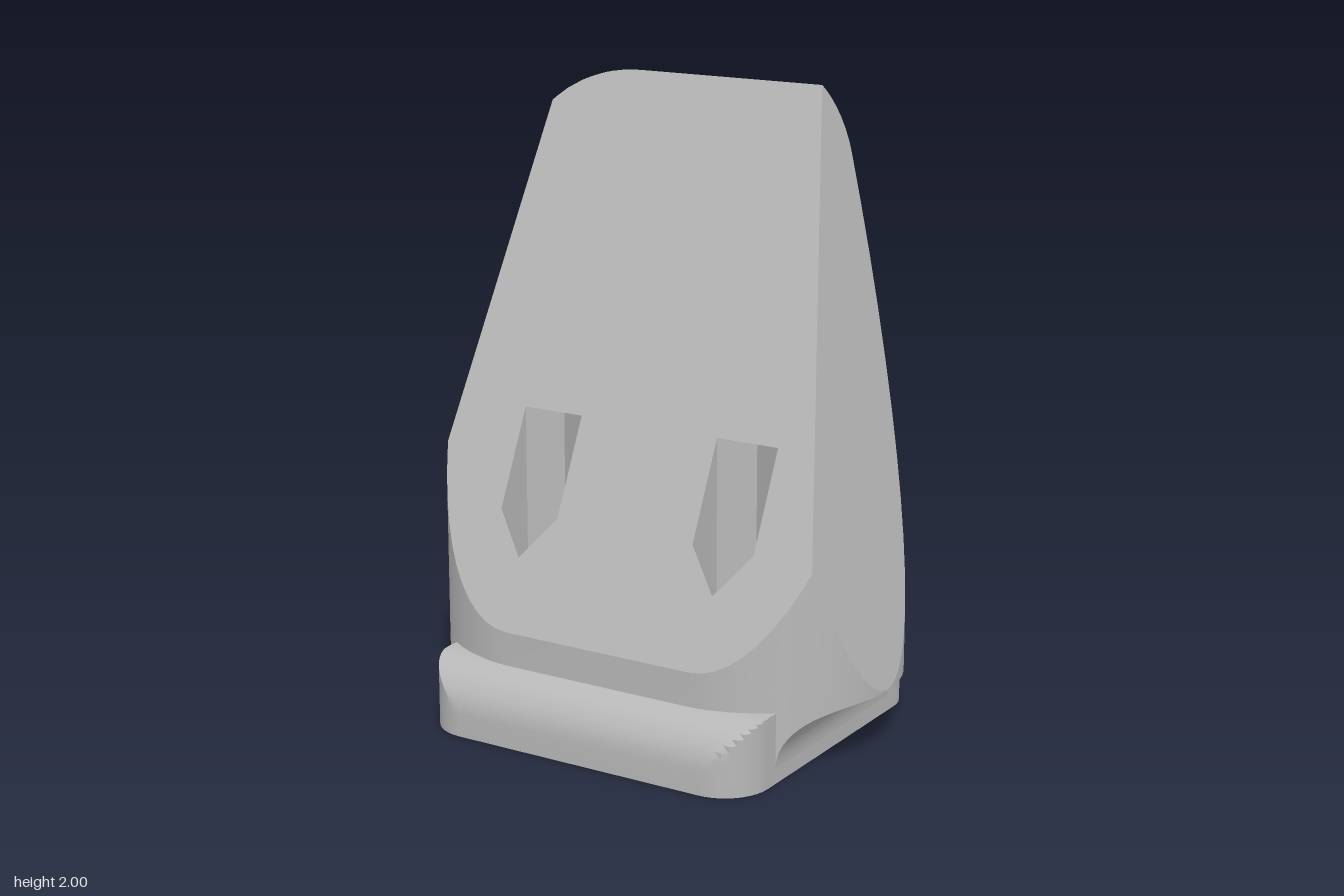
import * as THREE from 'three';
import { toCreasedNormals } from 'three/addons/utils/BufferGeometryUtils.js';

const SIDE = 0.335, RADIUS = 0.44;      // plan of the body: a stadium
const BOTTOM = 0.22, FLOOR = 0.13, CEILING = 0.975;
const HOLE = 0.06;

// Collects triangles and turns them into a mesh with sharp edges kept.
class Faces {
  constructor() { this.pos = []; }
  poly(pts) {
    for (let i = 1; i < pts.length - 1; i++) this.pos.push(...pts[0], ...pts[i], ...pts[i + 1]);
  }
  strip(a, b, closed = false) {
    const n = a.length;
    for (let i = 0; i < (closed ? n : n - 1); i++) {
      const j = (i + 1) % n;
      this.poly([a[i], b[i], b[j], a[j]]);
    }
  }
  // flat face with holes, triangulated in 2D and placed by a rule
  flat(contour, holes, place) {
    const v = (l) => l.map((p) => new THREE.Vector2(p[0], p[1]));
    const all = [contour, ...holes].flat();
    for (const t of THREE.ShapeUtils.triangulateShape(v(contour), holes.map(v))) {
      this.poly(t.map((i) => place(all[i][0], all[i][1])));
    }
  }
  mesh(name, material) {
    const g = new THREE.BufferGeometry();
    g.setAttribute('position', new THREE.Float32BufferAttribute(this.pos, 3));
    const m = new THREE.Mesh(toCreasedNormals(g, 0.5), material);
    m.name = name;
    return m;
  }
}

const circle = (cx, cz) => Array.from({ length: 32 }, (_, i) => {
  const a = (i / 32) * Math.PI * 2;
  return [cx + HOLE * Math.cos(a), cz + HOLE * Math.sin(a)];
});

// Cuts a convex solid by the plane n.p = d, returning its faces and the new cap.
function cut(faces, n, d) {
  const cap = new Map(), kept = [];
  const dist = (p) => n[0] * p[0] + n[1] * p[1] + n[2] * p[2] - d;
  for (const f of faces) {
    const out = [];
    f.forEach((p, i) => {
      const q = f[(i + 1) % f.length], a = dist(p), b = dist(q);
      if (a <= 0) out.push(p);
      if ((a <= 0) !== (b <= 0)) {
        const r = p.map((c, k) => c + (q[k] - c) * a / (a - b));
        out.push(r);
        cap.set(r.map((c) => Math.round(c * 1e4)).join(), r);
      }
    });
    if (out.length > 2) kept.push(out);
  }
  const pts = [...cap.values()];
  const c = [0, 1, 2].map((k) => pts.reduce((s, p) => s + p[k], 0) / pts.length);
  // sort the cap around its centre, in the plane
  const N = new THREE.Vector3(...n).normalize();
  const U = new THREE.Vector3(0, 1, 0).cross(N).normalize(), V = N.clone().cross(U);
  const angle = (p) => {
    const r = new THREE.Vector3(p[0] - c[0], p[1] - c[1], p[2] - c[2]);
    return Math.atan2(r.dot(V), r.dot(U));
  };
  pts.sort((p, q) => angle(p) - angle(q));
  return { kept, cap: pts };
}

// Pocket outlines as [x, z, wall top]
const frontPocket = (cx) => [
  [cx, 0.34, 0.544], [cx + 0.107, 0.28, 0.672], [cx + 0.107, 0.139, CEILING],
  [cx, 0.08, CEILING], [cx - 0.107, 0.139, CEILING], [cx - 0.107, 0.28, 0.672],
];
const backPocket = [
  [0, -0.53, 0.158], [0.107, -0.47, 0.21], [0.107, -0.44, 0.22], [0.107, -0.44, CEILING],
  [0.107, -0.35, CEILING], [0, -0.29, CEILING], [-0.107, -0.35, CEILING],
  [-0.107, -0.44, CEILING], [-0.107, -0.44, 0.22], [-0.107, -0.47, 0.21],
];

function makeBody(material) {
  const ring = (y, inset) => {
    const pts = [];
    for (const s of [1, -1]) for (let i = 0; i <= 32; i++) {
      const a = s * Math.PI / 2 - (i / 32) * Math.PI;
      const r = RADIUS - inset;
      pts.push([s * SIDE + r * Math.cos(a), y, r * Math.sin(a) * 1]);
    }
    // second end runs from back to front
    return pts.slice(0, 33).concat(pts.slice(33).map(([x, h, z]) => [-2 * SIDE - x - 0, h, z])
      .map(([x, h, z], i) => {
        const a = -Math.PI / 2 - (i / 32) * Math.PI, r = RADIUS - inset;
        return [-SIDE + r * Math.cos(a), h, r * Math.sin(a)];
      }));
  };
  const rings = [ring(BOTTOM, 0)];
  for (let i = 0; i <= 8; i++) {
    const t = (i / 8) * Math.PI / 3;
    rings.push(ring(1.78 + 0.29 * Math.sin(t), 0.29 * (1 - Math.cos(t))));
  }
  let faces = [rings[0], rings.at(-1).slice().reverse()];
  for (let k = 0; k < rings.length - 1; k++) rings[k].forEach((p, i) => {
    const j = (i + 1) % rings[k].length;
    faces.push([p, rings[k][j], rings[k + 1][j], rings[k + 1][i]].reverse());
  });
  // two leaning sides, then the sloping front
  for (const [n, d] of [[[-1, 0.0806, 0], 0.793], [[1, 0.2507, 0], 0.831]]) {
    const r = cut(faces, n, d);
    faces = [...r.kept, r.cap];
  }
  const front = cut(faces, [0, 0.467, 1], 0.594);
  const body = new Faces();
  for (const f of front.kept) {
    if (f.every((p) => p[1] < BOTTOM + 0.001)) continue;              // open underneath
    const isBack = f.every((p) => p[2] < -RADIUS + 0.001) && f.some((p) => p[0] > 0.2) && f.some((p) => p[0] < -0.2);
    if (!isBack) { body.poly(f); continue; }
    const slot = [[-0.107, 0.221], [0.107, 0.221], [0.107, CEILING], [-0.107, CEILING]];
    body.flat(f, [slot], (x, y) => [x, y, -RADIUS]);
  }
  const openings = [-0.355, 0.355].map((cx) => frontPocket(cx).filter((_, i) => i !== 3)
    .map(([x, z]) => [x, (0.594 - z) / 0.467]));
  body.flat(front.cap, openings, (x, y) => [x, y, 0.594 - 0.467 * y]);
  return body.mesh('body', material);
}

function makeBase(material) {
  const base = new Faces();
  const outline = (y, d) => {
    const half = [[0.107, y, -0.555 + d]];
    for (let i = 0; i <= 10; i++) {
      const a = -Math.PI / 2 + (i / 10) * Math.PI / 2, r = Math.max(0.15 - d, 0.002);
      half.push([0.44 + r * Math.cos(a), y, -0.405 + r * Math.sin(a)]);
    }
    half.push([0.59, y, -0.36]);
    for (let i = 0; i <= 10; i++) {
      const a = (i / 10) * Math.PI / 2;
      half.push([0.44 + 0.15 * Math.cos(a), y, Math.min(0.405 + 0.15 * Math.sin(a), 0.555 - d)]);
    }
    return half.concat(half.map(([x, h, z]) => [-x, h, z]).reverse());
  };
  const rings = [outline(0, 0)];
  for (let i = 0; i <= 10; i++) {
    const t = (i / 10) * Math.PI / 2;
    rings.push(outline(0.075 + 0.15 * Math.sin(t), 0.15 * (1 - Math.cos(t))));
  }
  for (let k = 0; k < rings.length - 1; k++) base.strip(rings[k], rings[k + 1]);
  // rim behind the back pocket
  const rim = [[-0.107, -0.47], [0, -0.53], [0.107, -0.47]].map(([x, z]) => {
    const end = Math.acos(1 - (z + 0.555) / 0.15), pts = [[x, 0, -0.555]];
    for (let i = 0; i <= 6; i++) {
      const t = end * i / 6;
      pts.push([x, 0.075 + 0.15 * Math.sin(t), -0.555 + 0.15 * (1 - Math.cos(t))]);
    }
    return pts;
  });
  base.strip(rim[0], rim[1]);
  base.strip(rim[1], rim[2]);
  // top with pocket openings, underside with screw holes
  const xz = (p) => [p[0], p[2]];
  const top = rings.at(-1).map(xz).concat([[-0.107, -0.35], [0, -0.29], [0.107, -0.35]]);
  base.flat(top, [-0.355, 0.355].map(frontPocket), (x, z) => [x, 0.225, z]);
  base.flat(rings[0].map(xz), [circle(-0.355, 0.2), circle(0.355, 0.2), circle(0, -0.41)], (x, z) => [x, 0, z]);
  return base.mesh('base', material);
}

// Screw pocket: walls, ceiling, floor and the hole through the base
function makePocket(name, outline, cx, cz, material) {
  const p = new Faces();
  p.strip(outline.map(([x, z]) => [x, FLOOR, z]), outline.map(([x, z, t]) => [x, t, z]), true);
  p.poly(outline.filter((o) => o[2] === CEILING).map(([x, z]) => [x, CEILING, z]));
  const hole = circle(cx, cz);
  p.flat(outline.filter((o, i) => i === 0 || o[0] !== outline[i - 1][0] || o[1] !== outline[i - 1][1]),
    [hole], (x, z) => [x, FLOOR, z]);
  p.strip(hole.map(([x, z]) => [x, 0, z]), hole.map(([x, z]) => [x, FLOOR, z]), true);
  return p.mesh(name, material);
}

// Hollow curve joining the base to the wider body
function makeCove(name, side, material) {
  const cove = new Faces(), rows = [];
  for (let i = 0; i <= 14; i++) {
    const a = (i / 14) * Math.PI / 2;
    const x = 0.772 - 0.182 * Math.cos(a), y = 0.05 + 0.17 * Math.sin(a);
    const h = Math.sqrt(Math.max(0, RADIUS ** 2 - (x - SIDE) ** 2));
    rows.push(Array.from({ length: 13 }, (_, k) => [side * x, y, h * (k / 6 - 1)]));
  }
  for (let i = 0; i < 14; i++) cove.strip(rows[i], rows[i + 1]);
  for (const k of [0, 12]) {
    const edge = rows.map((r) => r[k]);
    cove.strip(edge, edge.map(([x, , z]) => [x, BOTTOM, z]));
  }
  return cove.mesh(name, material);
}

export function createModel() {
  const grey = new THREE.MeshStandardMaterial({ color: 0xb8b8b8, side: THREE.DoubleSide });
  grey.name = 'light grey';
  const model = new THREE.Group();
  model.name = 'wedgeFoot';
  model.add(
    makeBody(grey), makeBase(grey),
    makeCove('leftCove', 1, grey), makeCove('rightCove', -1, grey),
    makePocket('leftScrewPocket', frontPocket(0.355), 0.355, 0.2, grey),
    makePocket('rightScrewPocket', frontPocket(-0.355), -0.355, 0.2, grey),
    makePocket('backScrewPocket', backPocket, 0, -0.41, grey),
  );
  return model;
}
